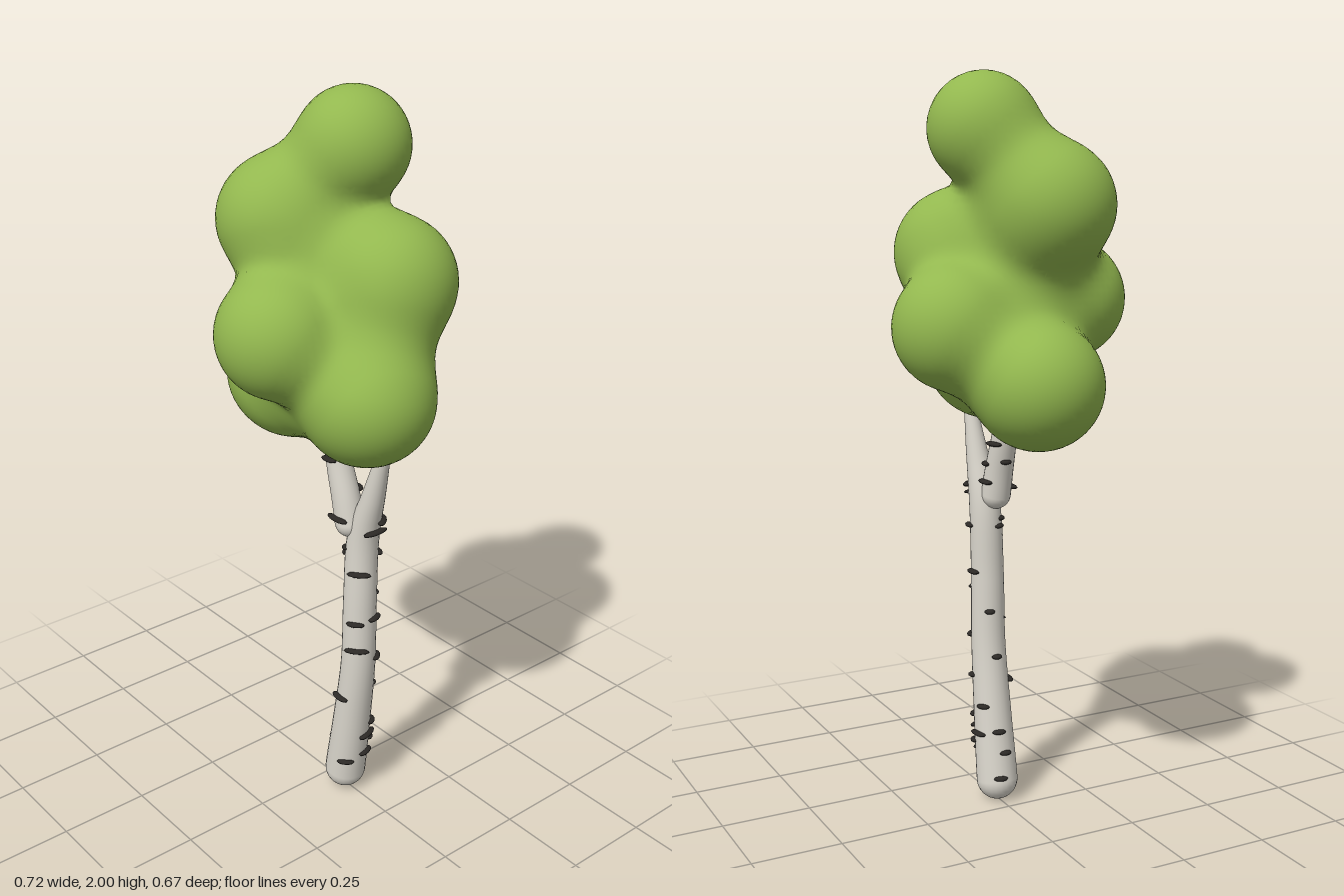
import * as THREE from 'three';

const foliageGreen = new THREE.MeshStandardMaterial({ color: 0x93b84f });
const barkWhite = new THREE.MeshStandardMaterial({ color: 0xdbd7cd });
const markBlack = new THREE.MeshStandardMaterial({ color: 0x2c2926 });

const V = (x, y, z) => new THREE.Vector3(x, y, z);

// Foliage lobes: centre and radius
const top = V(0.005, 1.86, -0.07), upperRight = V(-0.12, 1.67, 0.06), upperLeft = V(0.14, 1.54, -0.08);
const front = V(0.01, 1.42, 0.17), back = V(-0.03, 1.36, -0.17);
const lowRight = V(-0.2, 1.22, -0.01), lowLeft = V(0.2, 1.27, 0.03), core = V(0.02, 1.36, 0);
const capsules = [
  [top, top, 0.14], [upperRight, upperRight, 0.152], [upperLeft, upperLeft, 0.155],
  [front, front, 0.158], [back, back, 0.158], [lowRight, lowRight, 0.158], [lowLeft, lowLeft, 0.157],
  // links that fill the space between lobes
  [V(-0.12, 1.215, 0), V(0.12, 1.24, 0.01), 0.138],
  [upperRight, core, 0.11], [upperLeft, core, 0.11], [upperLeft, lowLeft, 0.11],
  [front, back, 0.11], [top, upperRight, 0.09], [upperRight, upperLeft, 0.1],
];

// Smoothly blended distance to all lobes
const BLEND = 0.1;
const ab = V(0, 0, 0), ap = V(0, 0, 0);
function distance(p) {
  let d = 1e3;
  for (const [a, b, r] of capsules) {
    ab.subVectors(b, a);
    ap.subVectors(p, a);
    const len2 = ab.lengthSq();
    if (len2 > 0) ap.addScaledVector(ab, -THREE.MathUtils.clamp(ap.dot(ab) / len2, 0, 1));
    const e = ap.length() - r;
    const h = Math.max(BLEND - Math.abs(d - e), 0) / BLEND;
    d = Math.min(d, e) - h * h * BLEND / 4;
  }
  return d;
}

function gradient(p) {
  const e = 0.002, g = [0, 0, 0];
  for (let i = 0; i < 3; i++) {
    const q = p.clone(), s = p.clone();
    q.setComponent(i, q.getComponent(i) + e);
    s.setComponent(i, s.getComponent(i) - e);
    g[i] = (distance(q) - distance(s)) / (2 * e);
  }
  return V(...g);
}

// Skin over the blended lobes: one vertex per boundary cell, one quad per crossing edge
function foliageGeometry() {
  const step = 0.02, n = [44, 54, 42], origin = V(-0.44, 1.0, -0.42);
  const stride = [1, n[0], n[0] * n[1]];
  const at = (i, j, k) => i + j * stride[1] + k * stride[2];
  const field = new Float32Array(n[0] * n[1] * n[2]);
  const eachCell = (start, end, visit) => {
    for (let k = start; k < n[2] - end; k++)
      for (let j = start; j < n[1] - end; j++)
        for (let i = start; i < n[0] - end; i++) visit(i, j, k);
  };
  eachCell(0, 0, (i, j, k) => {
    field[at(i, j, k)] = distance(V(i, j, k).multiplyScalar(step).add(origin));
  });

  const positions = [], normals = [], indices = [], vertexOf = new Map();
  eachCell(0, 1, (i, j, k) => {
    let inside = 0;
    for (let c = 0; c < 8; c++) if (field[at(i + (c & 1), j + (c >> 1 & 1), k + (c >> 2))] < 0) inside++;
    if (inside === 0 || inside === 8) return;
    const p = V(i + 0.5, j + 0.5, k + 0.5).multiplyScalar(step).add(origin);
    for (let s = 0; s < 3; s++) {
      const g = gradient(p);
      p.addScaledVector(g, -distance(p) / Math.max(g.lengthSq(), 0.2));
    }
    vertexOf.set(at(i, j, k), positions.length / 3);
    positions.push(p.x, p.y, p.z);
    normals.push(...gradient(p).normalize().toArray());
  });

  eachCell(1, 1, (i, j, k) => {
    const o = at(i, j, k);
    for (let a = 0; a < 3; a++) {
      const b = stride[(a + 1) % 3], c = stride[(a + 2) % 3];
      const solid = field[o] < 0;
      if (solid === field[o + stride[a]] < 0) continue;
      const q = [o, o - b, o - b - c, o - c].map((cell) => vertexOf.get(cell));
      if (!solid) q.reverse();
      indices.push(q[0], q[1], q[2], q[0], q[2], q[3]);
    }
  });
  const geometry = new THREE.BufferGeometry();
  geometry.setAttribute('position', new THREE.Float32BufferAttribute(positions, 3));
  geometry.setAttribute('normal', new THREE.Float32BufferAttribute(normals, 3));
  geometry.setIndex(indices);
  return geometry;
}

// Tapered limb through points [x, y, z, radius], with a rounded lower end
function makeLimb(name, points) {
  const group = new THREE.Group();
  group.name = name;
  const curve = new THREE.CatmullRomCurve3(points.map(([x, y, z]) => V(x, y, z)));
  const radii = new THREE.SplineCurve(points.map((p) => new THREE.Vector2(p[1], p[3])));
  const rings = 32, sides = 24;
  const geometry = new THREE.TubeGeometry(curve, rings, 1, sides);
  const pos = geometry.attributes.position, v = V(0, 0, 0);
  for (let i = 0; i < pos.count; i++) {
    const t = Math.floor(i / (sides + 1)) / rings, centre = curve.getPointAt(t);
    const r = radii.getPoint(curve.getUtoTmapping(t)).y;
    v.fromBufferAttribute(pos, i).sub(centre).multiplyScalar(r).add(centre);
    pos.setXYZ(i, v.x, v.y, v.z);
  }
  const tube = new THREE.Mesh(geometry, barkWhite);
  tube.name = name + 'Bark';
  const [x, y, z, r] = points[0];
  const end = new THREE.Mesh(new THREE.SphereGeometry(r, 24, 16), barkWhite);
  end.name = name + 'RoundedEnd';
  end.position.set(x, y, z);
  group.add(tube, end);
  return group;
}

// Flat dark bark marks, each [height, angle from +x towards +z in degrees, half width]
function addMarks(limb, points, marks) {
  const geometry = new THREE.SphereGeometry(1, 12, 8);
  for (const [y, degrees, width] of marks) {
    let i = 0;
    while (i < points.length - 2 && points[i + 1][1] < y) i++;
    const a = points[i], b = points[i + 1], t = (y - a[1]) / (b[1] - a[1]);
    const [x, , z, r] = a.map((value, n) => THREE.MathUtils.lerp(value, b[n], t));
    const angle = THREE.MathUtils.degToRad(degrees);
    const mark = new THREE.Mesh(geometry, markBlack);
    mark.name = 'barkMark';
    mark.scale.set(0.013, 0.007, width);
    mark.position.set(x + Math.cos(angle) * r, y, z + Math.sin(angle) * r);
    mark.rotation.y = -angle;
    limb.add(mark);
  }
}

export function createModel() {
  const tree = new THREE.Group();
  tree.name = 'birchTree';

  const foliage = new THREE.Mesh(foliageGeometry(), foliageGreen);
  foliage.name = 'foliage';
  tree.add(foliage);

  const trunkPoints = [
    [0.072, 0.06, 0, 0.058], [0.1, 0.25, 0, 0.053], [0.125, 0.45, 0, 0.048],
    [0.13, 0.65, 0, 0.046], [0.136, 0.85, -0.005, 0.043], [0.17, 0.98, -0.01, 0.031], [0.21, 1.14, -0.015, 0.017],
  ];
  const trunk = makeLimb('trunk', trunkPoints);
  addMarks(trunk, trunkPoints, [
    [0.08, 195, 0.02], [0.12, 45, 0.025], [0.14, -20, 0.028], [0.15, 175, 0.018], [0.17, 300, 0.02],
    [0.205, -20, 0.036], [0.21, 190, 0.02], [0.2, 260, 0.03], [0.24, -45, 0.022], [0.28, 235, 0.02],
    [0.34, 95, 0.032], [0.36, -75, 0.015], [0.42, 180, 0.015], [0.47, -45, 0.025], [0.51, 48, 0.036],
    [0.55, 200, 0.015], [0.595, 55, 0.026], [0.605, -20, 0.026], [0.66, 265, 0.025], [0.75, 50, 0.034],
    [0.79, -75, 0.022], [0.79, 150, 0.018], [0.81, 135, 0.015], [0.875, 0, 0.04], [0.9, -45, 0.032],
  ]);

  const branchPoints = [
    [0.1, 0.88, 0.012, 0.041], [0.085, 0.95, 0.014, 0.039], [0.06, 1.04, 0.016, 0.035], [0.03, 1.16, 0.018, 0.028],
  ];
  const branch = makeLimb('branch', branchPoints);
  addMarks(branch, branchPoints, [
    [0.9, 90, 0.038], [0.92, 265, 0.03], [0.97, 290, 0.022], [0.98, 185, 0.016], [1.03, 255, 0.03], [1.06, 85, 0.026],
  ]);

  tree.add(trunk, branch);
  return tree;
}
